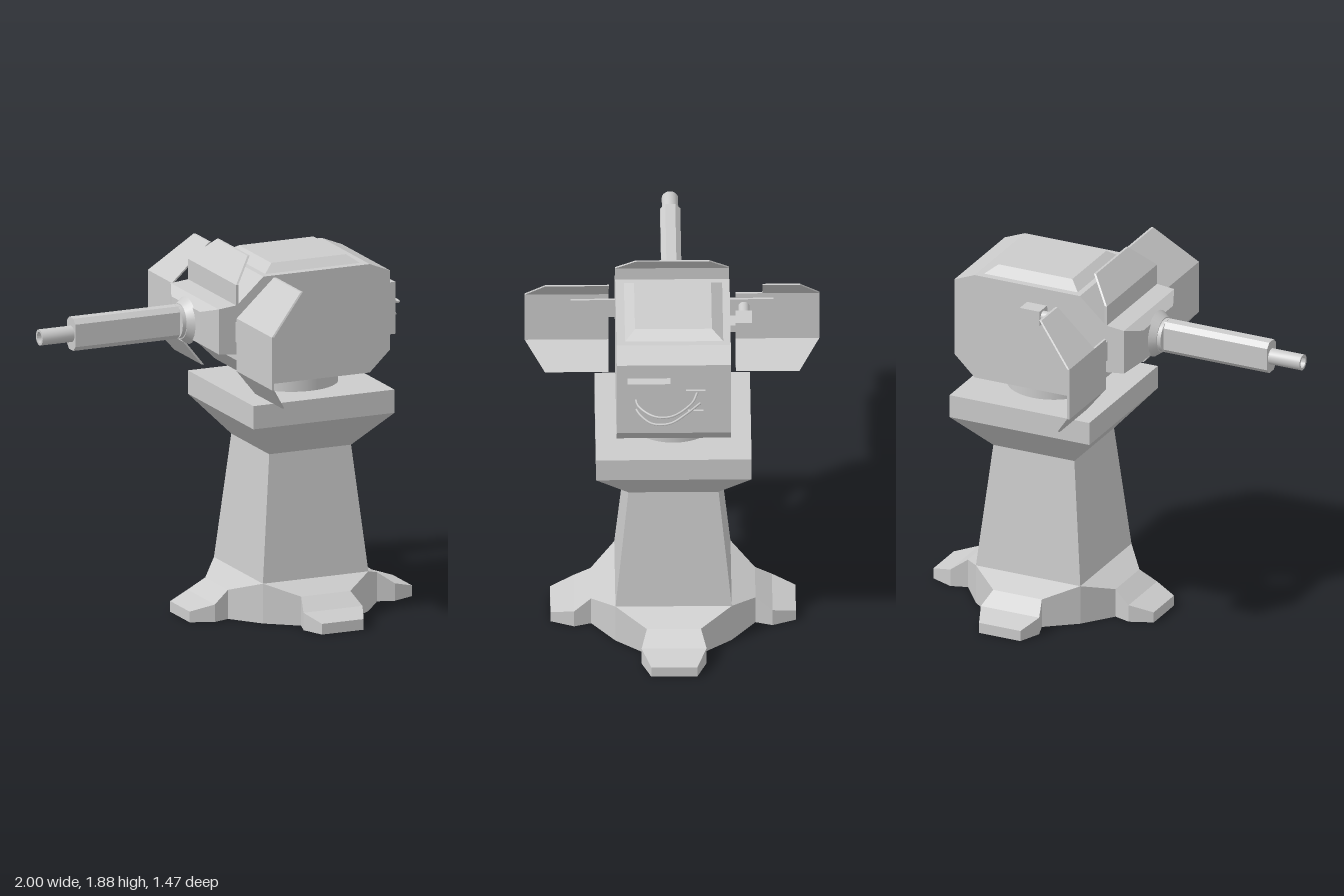
import * as THREE from 'three';
import { toCreasedNormals } from 'three/addons/utils/BufferGeometryUtils.js';

const CX = 0.385; // tower axis
const BARREL_Y = 1.527;

// Skins convex cross-sections (arrays of [x, y, z]) and caps both ends.
function loft(sections) {
  const tris = [];
  const n = sections[0].length;
  for (let s = 0; s < sections.length - 1; s++) {
    const a = sections[s], b = sections[s + 1];
    for (let i = 0; i < n; i++) {
      const j = (i + 1) % n;
      tris.push([a[i], a[j], b[j]], [a[i], b[j], b[i]]);
    }
  }
  const first = sections[0], last = sections[sections.length - 1];
  for (let i = 1; i < n - 1; i++) {
    tris.push([first[0], first[i + 1], first[i]], [last[0], last[i], last[i + 1]]);
  }
  // Turn the faces outward whichever way the sections were listed.
  const V = (p) => new THREE.Vector3(...p);
  const origin = V(first[0]);
  let volume = 0;
  for (const t of tris) {
    const [a, b, c] = t.map((p) => V(p).sub(origin));
    volume += a.dot(b.cross(c));
  }
  if (volume < 0) tris.forEach((t) => t.reverse());
  const geo = new THREE.BufferGeometry();
  geo.setAttribute('position', new THREE.Float32BufferAttribute(tris.flat(2), 3));
  geo.computeVertexNormals();
  return geo;
}

// Rectangular sections standing across x, or lying across y.
const rectX = (x, y0, y1, z0, z1) => [[x, y0, z0], [x, y1, z0], [x, y1, z1], [x, y0, z1]];
const rectY = (y, x0, x1, z0, z1) => [[x0, y, z0], [x1, y, z0], [x1, y, z1], [x0, y, z1]];

export function createModel() {
  const model = new THREE.Group();
  const smooth = new THREE.MeshStandardMaterial({ color: 0xcccccc });
  const flat = new THREE.MeshStandardMaterial({ color: 0xcccccc, flatShading: true });

  const add = (name, geo, mat = flat, parent = model) => {
    const mesh = new THREE.Mesh(geo, mat);
    mesh.name = name;
    parent.add(mesh);
    return mesh;
  };
  const box = (name, x0, x1, y0, y1, z0, z1) => {
    const mesh = add(name, new THREE.BoxGeometry(x1 - x0, y1 - y0, z1 - z0));
    mesh.position.set((x0 + x1) / 2, (y0 + y1) / 2, (z0 + z1) / 2);
    return mesh;
  };
  // Cylinder along x; r0 at the -x end, r1 at the +x end.
  const rod = (name, x0, x1, r0, r1, y, z) => {
    const mesh = add(name, new THREE.CylinderGeometry(r0, r1, x1 - x0, 24), smooth);
    mesh.rotation.z = Math.PI / 2;
    mesh.position.set((x0 + x1) / 2, y, z);
    return mesh;
  };

  // Square pedestal with flared platform
  const towerProfile = [[0, 0], [0.29, 0], [0.29, 0.205], [0.225, 0.85], [0.388, 1.035], [0.388, 1.155], [0, 1.155]];
  const tower = add('pedestal', new THREE.LatheGeometry(
    towerProfile.map(([r, y]) => new THREE.Vector2(r * Math.SQRT2, y)), 4, Math.PI / 4));
  tower.position.x = CX;

  // Four spreading feet: distance from axis, half width, height
  const footGeo = loft([
    [0.29, 0.29, 0.205], [0.41, 0.135, 0.15], [0.495, 0.162, 0.09], [0.612, 0.115, 0.055],
  ].map(([d, w, h]) => rectX(d, 0, h, -w, w)));
  for (let i = 0; i < 4; i++) {
    const foot = add('foot', footGeo);
    foot.rotation.y = i * Math.PI / 2;
    foot.position.x = CX;
  }

  // Turning neck
  const neck = add('neck', new THREE.CylinderGeometry(0.235, 0.235, 0.09, 40), smooth);
  neck.position.set(CX, 1.195, 0);

  // Turret housing
  const side = [[0.1, 1.228], [0.685, 1.228], [0.797, 1.335], [0.797, 1.742], [0.685, 1.787],
    [0.1, 1.787], [-0.045, 1.655], [-0.045, 1.37]];
  add('turretHousing', loft([-0.285, 0.285].map((z) => side.map(([x, y]) => [x, y, z]))));
  add('roofHatch', loft([
    rectY(1.78, 0.13, 0.65, -0.248, 0.242),
    rectY(1.787, 0.13, 0.65, -0.248, 0.242),
    rectY(1.826, 0.187, 0.597, -0.192, 0.192),
  ]));

  // Gun mantlet
  add('mantlet', loft([
    rectX(-0.195, 1.445, 1.61, -0.17, 0.17),
    rectX(-0.145, 1.412, 1.645, -0.285, 0.285),
    rectX(-0.04, 1.4, 1.656, -0.285, 0.285),
  ]));

  // Gun: collars, faceted sleeve and hollow muzzle
  rod('barrelSeat', -0.23, -0.19, 0.09, 0.12, BARREL_Y, 0);
  rod('barrelCollar', -0.25, -0.19, 0.085, 0.085, BARREL_Y, 0);
  const octagon = [[0.083, 0.025], [0.058, 0.05], [-0.058, 0.05], [-0.083, 0.025],
    [-0.083, -0.025], [-0.058, -0.05], [0.058, -0.05], [0.083, -0.025]];
  add('barrelSleeve', loft([-0.825, -0.24].map((x) => octagon.map(([y, z]) => [x, BARREL_Y + y, z]))));
  const muzzleProfile = [[0.041, 0], [0.041, 0.2], [0.028, 0.2], [0.028, 0.03], [0, 0.03]];
  const muzzle = add('muzzle', toCreasedNormals(new THREE.LatheGeometry(
    muzzleProfile.map(([r, y]) => new THREE.Vector2(r, y)), 20), 0.6), smooth);
  muzzle.rotation.z = Math.PI / 2;
  muzzle.position.set(-0.8, BARREL_Y, 0);

  // Bent armour shields: y, x, inner z, outer z for each fold
  const T = 0.012;
  const shield = (name, sign, folds) => add(name, loft(
    folds.map(([y, x, z0, z1]) => rectY(y, x, x + T, sign * z0, sign * z1))));
  shield('leftShield', 1, [
    [1.197, 0.04, 0.317, 0.635], [1.325, -0.062, 0.317, 0.735],
    [1.597, -0.062, 0.317, 0.735], [1.785, 0.142, 0.317, 0.635],
  ]);
  shield('rightShieldLower', -1, [
    [1.197, 0.04, 0.317, 0.635], [1.325, -0.062, 0.317, 0.735], [1.597, -0.062, 0.317, 0.735],
  ]);
  shield('rightShieldUpper', -1, [[1.597, -0.062, 0.45, 0.735], [1.785, 0.142, 0.45, 0.635]]);
  shield('topShield', 1, [
    [1.64, -0.05, -0.285, 0.285], [1.76, -0.05, -0.285, 0.285], [1.875, 0.06, -0.183, 0.183],
  ]);
  for (const s of [-1, 1]) {
    box('shieldBracket', -0.053, -0.037, 1.467, 1.57, s * 0.395 - 0.112, s * 0.395 + 0.112);
  }

  // Sight on the right flank
  box('sightMount', 0.28, 0.37, 1.65, 1.69, -0.32, -0.28);
  box('sightBody', 0.27, 0.38, 1.635, 1.712, -0.395, -0.312);
  rod('sightLens', 0.177, 0.275, 0.028, 0.028, 1.673, -0.356);

  // Equipment box and framed socket on the rear wall
  box('equipmentBox', 0.79, 0.85, 1.397, 1.665, 0.018, 0.232);
  const frame = new THREE.Shape([[0.06, 1.465], [0.157, 1.465], [0.157, 1.597], [0.06, 1.597]]
    .map(([x, y]) => new THREE.Vector2(x, y)));
  frame.holes.push(new THREE.Path([[0.07, 1.475], [0.07, 1.587], [0.147, 1.587], [0.147, 1.475]]
    .map(([x, y]) => new THREE.Vector2(x, y))));
  const socket = add('socketFrame', new THREE.ExtrudeGeometry(frame, { depth: 0.018, bevelEnabled: false }));
  socket.rotation.y = Math.PI / 2;
  socket.position.x = 0.793;

  // Hanging cables
  const cables = [
    [[0.845, 1.572, 0.19], [0.87, 1.55, 0.18], [0.93, 1.525, 0.1], [0.93, 1.525, 0.01], [0.86, 1.557, -0.09], [0.795, 1.577, -0.117]],
    [[0.845, 1.515, 0.19], [0.87, 1.495, 0.17], [0.905, 1.465, 0.11], [0.905, 1.465, 0.02], [0.86, 1.49, -0.06], [0.795, 1.512, -0.132]],
  ];
  for (const points of cables) {
    const curve = new THREE.CatmullRomCurve3(points.map((p) => new THREE.Vector3(...p)));
    add('cable', new THREE.TubeGeometry(curve, 24, 0.006, 8), smooth);
  }

  return model;
}
